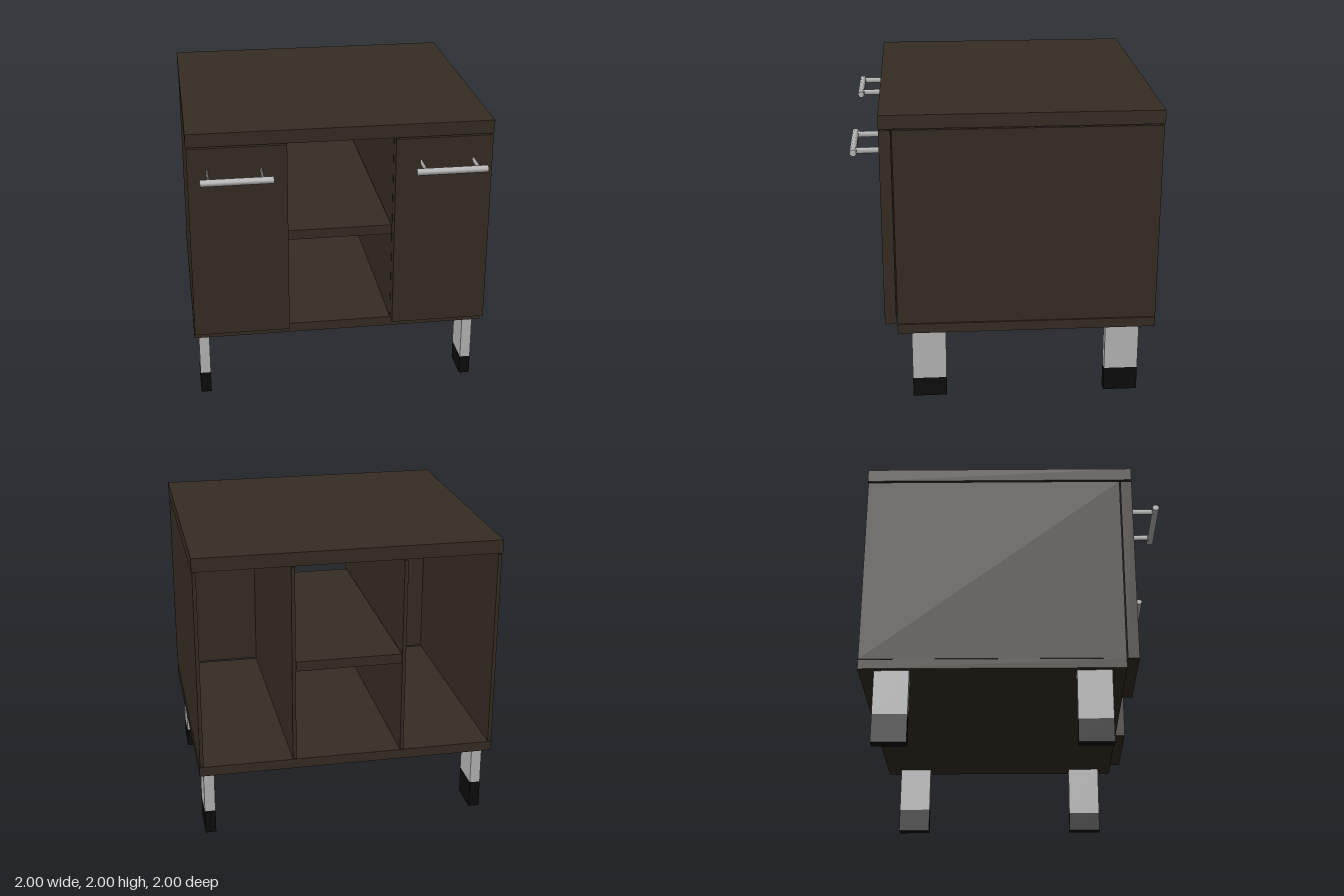
import * as THREE from 'three';

export function createModel() {
  const root = new THREE.Group();
  root.name = 'cabinet';

  const mat = (name, color) => {
    const m = new THREE.MeshStandardMaterial({ color });
    m.name = name;
    return m;
  };
  const wood = mat('darkWood', 0x362c23);
  const metal = mat('metal', 0xb8b8b8);
  const rubber = mat('blackRubber', 0x0c0c0c);

  // Box given by its extents along each axis
  const box = (name, material, [x0, x1], [y0, y1], [z0, z1], parent = root) => {
    const mesh = new THREE.Mesh(new THREE.BoxGeometry(Math.abs(x1 - x0), y1 - y0, z1 - z0), material);
    mesh.position.set((x0 + x1) / 2, (y0 + y1) / 2, (z0 + z1) / 2);
    mesh.name = name;
    parent.add(mesh);
    return mesh;
  };

  // Carcass: open at the back, with thin gaps between the boards
  const depth = [-0.995, 0.73];
  const height = [0.56, 1.9];
  box('topBoard', wood, [-1, 1], [1.91, 2], [-1, 0.813]);
  box('baseBoard', wood, [-1, 1], [0.49, 0.556], depth);
  box('middleShelf', wood, [-0.35, 0.35], [1.192, 1.258], depth);

  for (const s of [1, -1]) {
    const side = s > 0 ? 'left' : 'right';
    box(side + 'SidePanel', wood, [s * 0.972, s * 0.996], height, depth);
    box(side + 'Divider', wood, [s * 0.354, s * 0.378], height, depth);
    box(side + 'Door', wood, [s * 0.354, s * 0.996], height, [0.737, 0.813]);

    // Bar handle on two flattened posts
    const handle = new THREE.Group();
    handle.name = side + 'Handle';
    root.add(handle);
    const barGeo = new THREE.CylinderGeometry(0.023, 0.023, 0.465, 8);
    barGeo.rotateY(Math.PI / 8);
    barGeo.rotateZ(Math.PI / 2);
    barGeo.computeBoundingBox();
    const bar = new THREE.Mesh(barGeo, metal);
    bar.name = 'handleBar';
    bar.position.set(s * 0.69, 1.733, 1 - barGeo.boundingBox.max.z);
    handle.add(bar);
    for (const x of [0.522, 0.868]) {
      const post = new THREE.Mesh(new THREE.CylinderGeometry(0.021, 0.021, 0.155, 8), metal);
      post.name = 'handlePost';
      post.rotation.x = Math.PI / 2;
      post.scale.x = 0.36;
      post.position.set(s * x, 1.733, 0.8875);
      handle.add(post);
    }
  }

  // Legs with black feet of slightly different heights
  const legs = [
    ['frontLeftLeg', 1, 0.41, 0.135],
    ['frontRightLeg', -1, 0.41, 0.155],
    ['backLeftLeg', 1, -0.893, 0.165],
    ['backRightLeg', -1, -0.893, 0.19],
  ];
  for (const [name, s, z, foot] of legs) {
    const leg = new THREE.Group();
    leg.name = name;
    root.add(leg);
    const x = [s * 0.896, s * 0.968];
    box('legPost', metal, x, [foot, 0.49], [z, z + 0.228], leg);
    box('legFoot', rubber, x, [0, foot], [z, z + 0.228], leg);
  }

  return root;
}
